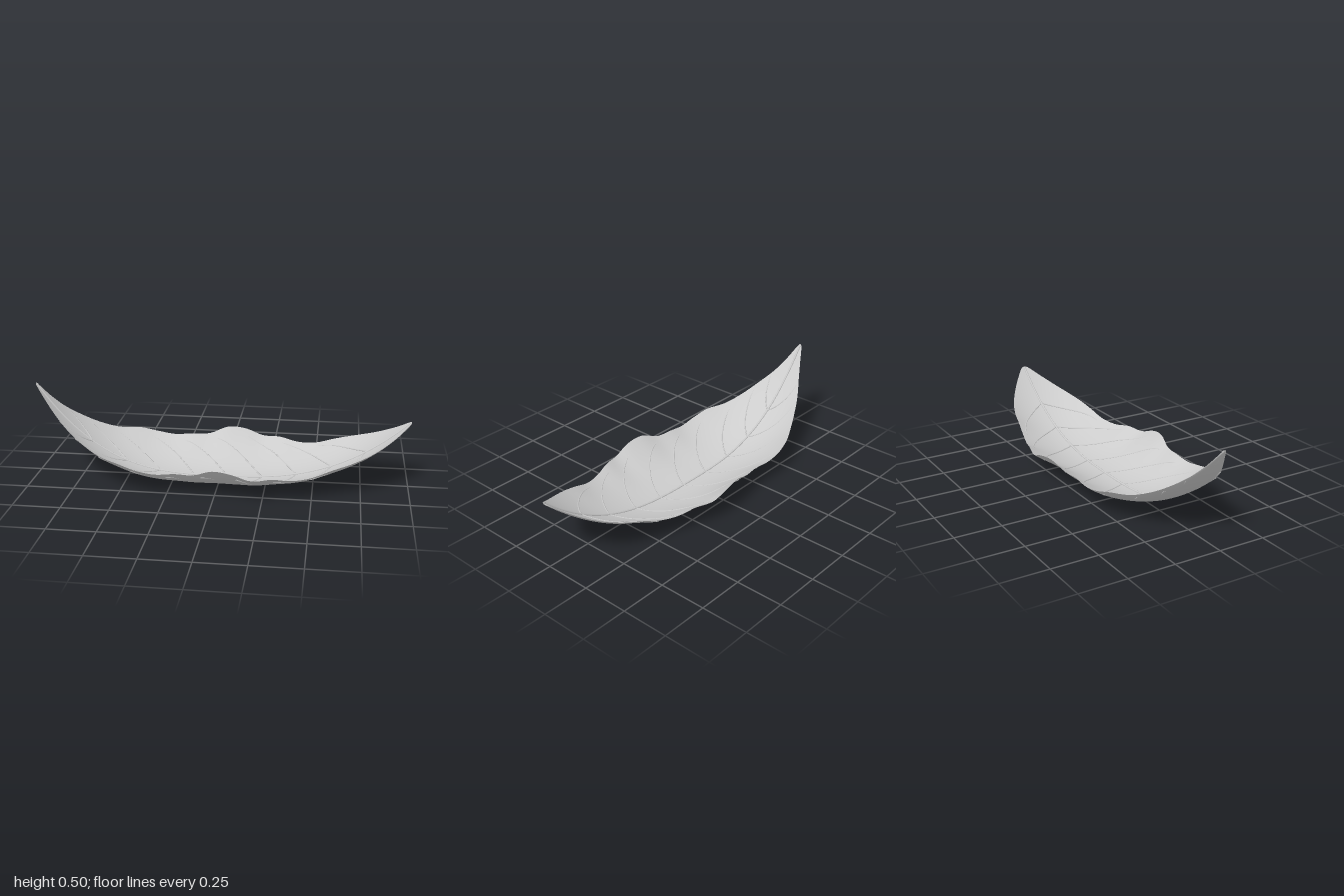
import * as THREE from 'three';

// Values every 0.1 from x = -1 to x = 1
const WIDTH = [0.1, 0.165, 0.23, 0.268, 0.3, 0.333, 0.338, 0.326, 0.317, 0.323, 0.345,
  0.357, 0.353, 0.336, 0.317, 0.302, 0.298, 0.3, 0.283, 0.24, 0.17];
const RIPPLE = [0, 0, 0.003, 0.004, 0.002, 0.004, -0.006, -0.004, 0.014, 0.012, 0.03,
  0.012, -0.018, -0.004, -0.014, -0.01, 0.004, 0.002, 0, 0, 0];
const THICK = 0.008;

// Smooth cubic lookup in an evenly spaced table
function lookup(table, x) {
  const f = THREE.MathUtils.clamp((x + 1) * 10, 0, 20);
  const i = Math.min(19, Math.floor(f)), t = f - i;
  const p = (k) => table[THREE.MathUtils.clamp(k, 0, 20)];
  const m0 = (p(i + 1) - p(i - 1)) / 2, m1 = (p(i + 2) - p(i)) / 2;
  return p(i) + t * (m0 + t * (3 * (p(i + 1) - p(i)) - 2 * m0 - m1 + t * (2 * (p(i) - p(i + 1)) + m0 + m1)));
}

const halfWidth = (x) => lookup(WIDTH, x) * Math.sqrt(Math.max(0, 1 - x * x));
const spine = (x) => (x < 0 ? 0.49 * Math.pow(-x, 3) : 0.352 * Math.pow(x, 2.7)) + THICK;

// Height of the upper face: curved spine, cupped section, rippled margin
function height(x, z) {
  const t = Math.min(1, Math.abs(z) / Math.max(halfWidth(x), 1e-4));
  return spine(x) + 1.12 * z * z + lookup(RIPPLE, x) * t * t * t;
}

// One face of the blade; the two faces meet along a sharp margin
function bladeFace(under) {
  const nu = 120, nv = 40, positions = [], index = [];
  for (let i = 0; i <= nu; i++) {
    const x = -Math.cos((Math.PI * i) / nu) * 0.9999;
    for (let j = 0; j <= nv; j++) {
      const t = (j / nv) * 2 - 1, z = t * halfWidth(x);
      const drop = under ? THICK * (1 - Math.pow(t, 8)) : 0;
      positions.push(x, height(x, z) - drop, z);
      if (i < nu && j < nv) {
        const a = i * (nv + 1) + j, b = a + 1, c = a + nv + 1, d = c + 1;
        if (under) index.push(a, c, b, b, c, d);
        else index.push(a, b, c, b, d, c);
      }
    }
  }
  const geometry = new THREE.BufferGeometry();
  geometry.setAttribute('position', new THREE.Float32BufferAttribute(positions, 3));
  geometry.setIndex(index);
  geometry.computeVertexNormals();
  return geometry;
}

export function createModel() {
  const group = new THREE.Group();
  group.name = 'leaf';
  const leafGrey = new THREE.MeshStandardMaterial({ color: 0xcccccc, side: THREE.DoubleSide });
  leafGrey.name = 'leaf grey';

  const add = (name, geometry) => {
    const mesh = new THREE.Mesh(geometry, leafGrey);
    mesh.name = name;
    group.add(mesh);
  };

  add('bladeTop', bladeFace(false));
  add('bladeUnderside', bladeFace(true));

  // Midrib along the spine
  const rib = [];
  for (let i = 0; i <= 40; i++) {
    const x = -0.995 + (1.99 * i) / 40;
    rib.push(new THREE.Vector3(x, spine(x) + 0.001, 0));
  }
  add('midrib', new THREE.TubeGeometry(new THREE.CatmullRomCurve3(rib), 120, 0.006, 8));

  // Paired side veins sweeping back from the midrib and sinking into the blade
  for (let k = 0; k < 9; k++) {
    const x0 = -0.7 + k * 0.185;
    const reach = [0.15, 0.24, 0.29][Math.min(k, 2)];
    const x1 = x0 - reach, z1 = halfWidth(x1) * 0.9;
    const path = new THREE.QuadraticBezierCurve(
      new THREE.Vector2(x0, 0),
      new THREE.Vector2(x0 - reach * 0.4, z1 * 0.85),
      new THREE.Vector2(x1, z1));
    for (const side of [1, -1]) {
      const points = path.getPoints(24).map((p, i) =>
        new THREE.Vector3(p.x, height(p.x, p.y) - 0.0045 * Math.pow(i / 24, 2), p.y * side));
      add(side > 0 ? 'frontVein' : 'backVein',
        new THREE.TubeGeometry(new THREE.CatmullRomCurve3(points), 40, 0.004, 6));
    }
  }
  return group;
}
